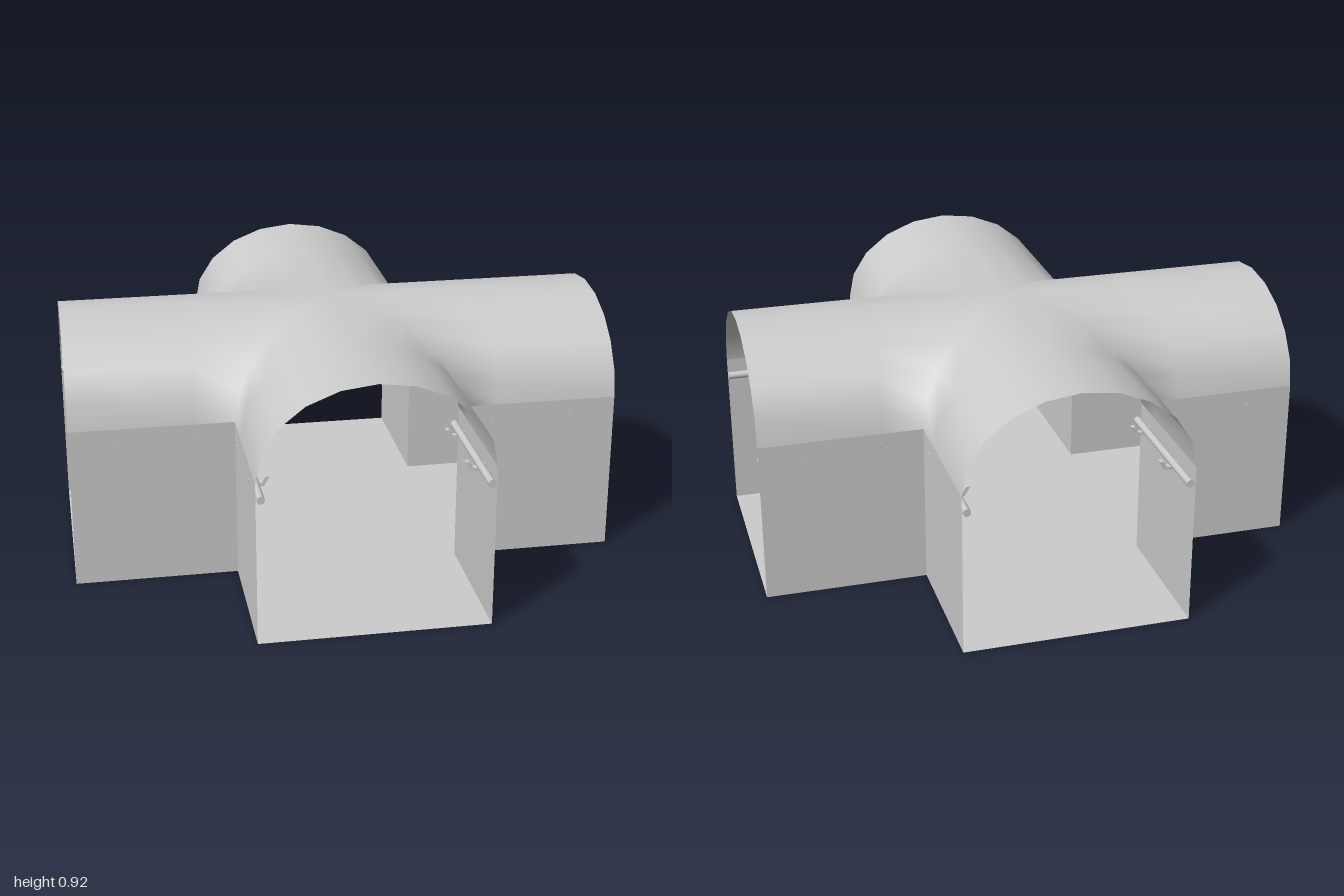
import * as THREE from 'three';
import { mergeGeometries, mergeVertices } from 'three/addons/utils/BufferGeometryUtils.js';

const HALF = 0.41, SPRING = 0.595, RISE = 0.325, SEGMENTS = 10;
const LENGTHS = [1, 0.955, 1, 0.955]; // arms along +x, -z, -x, +z

const material = new THREE.MeshStandardMaterial({ color: 0xcccccc, side: THREE.DoubleSide });

function addMesh(parent, name, geometry, x = 0, y = 0, z = 0) {
  const mesh = new THREE.Mesh(geometry, material);
  mesh.name = name;
  mesh.position.set(x, y, z);
  parent.add(mesh);
  return mesh;
}

// Half-ellipse vault along +x, cut along the diagonals where arms meet
function vaultArm(length) {
  const positions = [], index = [], cols = SEGMENTS + 1;
  for (let row = 0; row < 3; row++) {
    for (let i = 0; i < cols; i++) {
      const a = Math.PI * (1 - i / SEGMENTS);
      const w = HALF * Math.cos(a);
      const d = [Math.abs(w), 0.56, length][row];
      positions.push(d, SPRING + RISE * Math.sin(a), w);
    }
  }
  for (let row = 0; row < 2; row++) {
    for (let i = 0; i < SEGMENTS; i++) {
      const a = row * cols + i, b = a + 1, c = b + cols, d = a + cols;
      index.push(a, b, c, a, c, d);
    }
  }
  const g = new THREE.BufferGeometry();
  g.setAttribute('position', new THREE.Float32BufferAttribute(positions, 3));
  g.setIndex(index);
  return g;
}

// Bracket cross-section: x runs inward from the wall, y is up
function bracketGeometry() {
  const width = 0.024;
  const shape = new THREE.Shape([
    [0.005, -0.02], [0.05, -0.02], [0.07, 0.013], [0.056, 0.013],
    [0.042, -0.01], [0.005, -0.01],
  ].map(([x, y]) => new THREE.Vector2(x, y)));
  const g = new THREE.ExtrudeGeometry(shape, { depth: width, bevelEnabled: false });
  g.translate(0, 0, -width / 2);
  return g.rotateY(Math.PI / 2); // inward becomes -z
}

// Handrail on the wall at z = HALF, running along +x
function createRail(length) {
  const rail = new THREE.Group();
  rail.name = 'rail';
  const span = length - HALF - 0.01;
  const bar = new THREE.CylinderGeometry(0.014, 0.014, span, 12).rotateZ(Math.PI / 2);
  addMesh(rail, 'railBar', bar, length - span / 2, 0.535, HALF - 0.018);
  for (const fromEnd of [0.17, 0.46]) {
    const x = length - fromEnd;
    addMesh(rail, 'railBracket', bracketGeometry(), x, 0.535, HALF);
    const bolt = new THREE.CylinderGeometry(0.006, 0.006, 0.02, 8).rotateX(Math.PI / 2);
    addMesh(rail, 'railBolt', bolt, x, 0.535, HALF - 0.007);
  }
  return rail;
}

export function createModel() {
  const model = new THREE.Group();
  model.name = 'tunnelCrossing';

  // One smooth cross vault
  const arms = LENGTHS.map((length, k) => vaultArm(length).rotateY(k * Math.PI / 2));
  const vault = mergeVertices(mergeGeometries(arms), 1e-4);
  vault.computeVertexNormals();
  addMesh(model, 'vault', vault);

  // Cross-shaped floor
  const floor = new THREE.Shape();
  const [lx, lz] = LENGTHS;
  [[lx, -HALF], [lx, HALF], [HALF, HALF], [HALF, lz], [-HALF, lz], [-HALF, HALF],
    [-lx, HALF], [-lx, -HALF], [-HALF, -HALF], [-HALF, -lz], [HALF, -lz], [HALF, -HALF]]
    .forEach(([x, y], i) => (i ? floor.lineTo(x, y) : floor.moveTo(x, y)));
  addMesh(model, 'floor', new THREE.ShapeGeometry(floor).rotateX(-Math.PI / 2));

  // Side walls and handrails of each arm
  LENGTHS.forEach((length, k) => {
    const arm = new THREE.Group();
    arm.name = 'arm';
    arm.rotation.y = k * Math.PI / 2;
    for (const side of [1, -1]) {
      const wall = new THREE.PlaneGeometry(length - HALF, SPRING);
      if (side < 0) wall.rotateY(Math.PI);
      addMesh(arm, 'wall', wall, (length + HALF) / 2, SPRING / 2, side * HALF);
      const rail = createRail(length);
      rail.scale.z = side;
      arm.add(rail);
    }
    model.add(arm);
  });
  return model;
}
